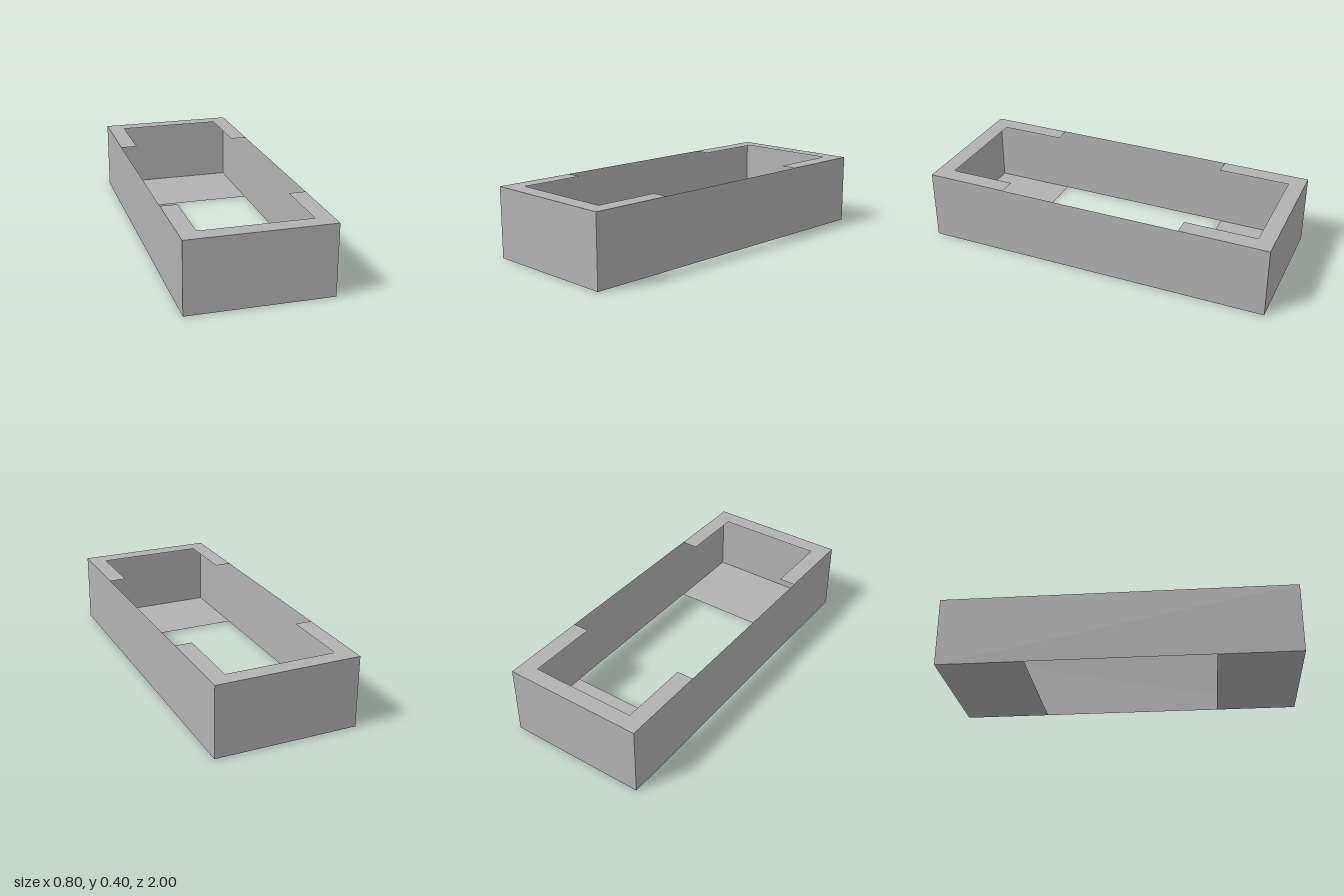
import * as THREE from 'three';

const HALF_W = 0.4, HALF_L = 1, HEIGHT = 0.4;
const INNER_W = 0.305; // inner half width of the rims

export function createModel() {
  const model = new THREE.Group();
  model.name = 'openTray';
  const grey = new THREE.MeshStandardMaterial({ color: 0xb2b2b2, side: THREE.DoubleSide });
  grey.name = 'grey';

  const add = (name, geometry) => {
    const mesh = new THREE.Mesh(geometry, grey);
    mesh.name = name;
    model.add(mesh);
    return mesh;
  };

  // Flat sheet walls around the four sides
  const addWall = (name, width, angle, distance) => {
    const geometry = new THREE.PlaneGeometry(width, HEIGHT);
    geometry.translate(0, HEIGHT / 2, distance).rotateY(angle);
    add(name, geometry);
  };
  addWall('frontWall', HALF_W * 2, 0, HALF_L);
  addWall('leftWall', HALF_L * 2, Math.PI / 2, HALF_W);
  addWall('backWall', HALF_W * 2, Math.PI, HALF_L);
  addWall('rightWall', HALF_L * 2, -Math.PI / 2, HALF_W);

  // Horizontal sheet from an outline of [x, z] points
  const addSheet = (name, points, y) => {
    const shape = new THREE.Shape(points.map(([x, z]) => new THREE.Vector2(x, -z)));
    add(name, new THREE.ShapeGeometry(shape).rotateX(-Math.PI / 2)).position.y = y;
  };

  // Each end has a floor plate and a U-shaped top rim; the middle stays open
  const ends = [
    { name: 'front', outer: HALF_L, lip: 0.905, inner: 0.535 },
    { name: 'back', outer: -HALF_L, lip: -0.91, inner: -0.505 },
  ];
  for (const { name, outer, lip, inner } of ends) {
    addSheet(name + 'Floor', [
      [-HALF_W, outer], [HALF_W, outer], [HALF_W, inner], [-HALF_W, inner],
    ], 0);
    addSheet(name + 'Rim', [
      [-HALF_W, outer], [HALF_W, outer], [HALF_W, inner], [INNER_W, inner],
      [INNER_W, lip], [-INNER_W, lip], [-INNER_W, inner], [-HALF_W, inner],
    ], HEIGHT);
  }

  return model;
}
